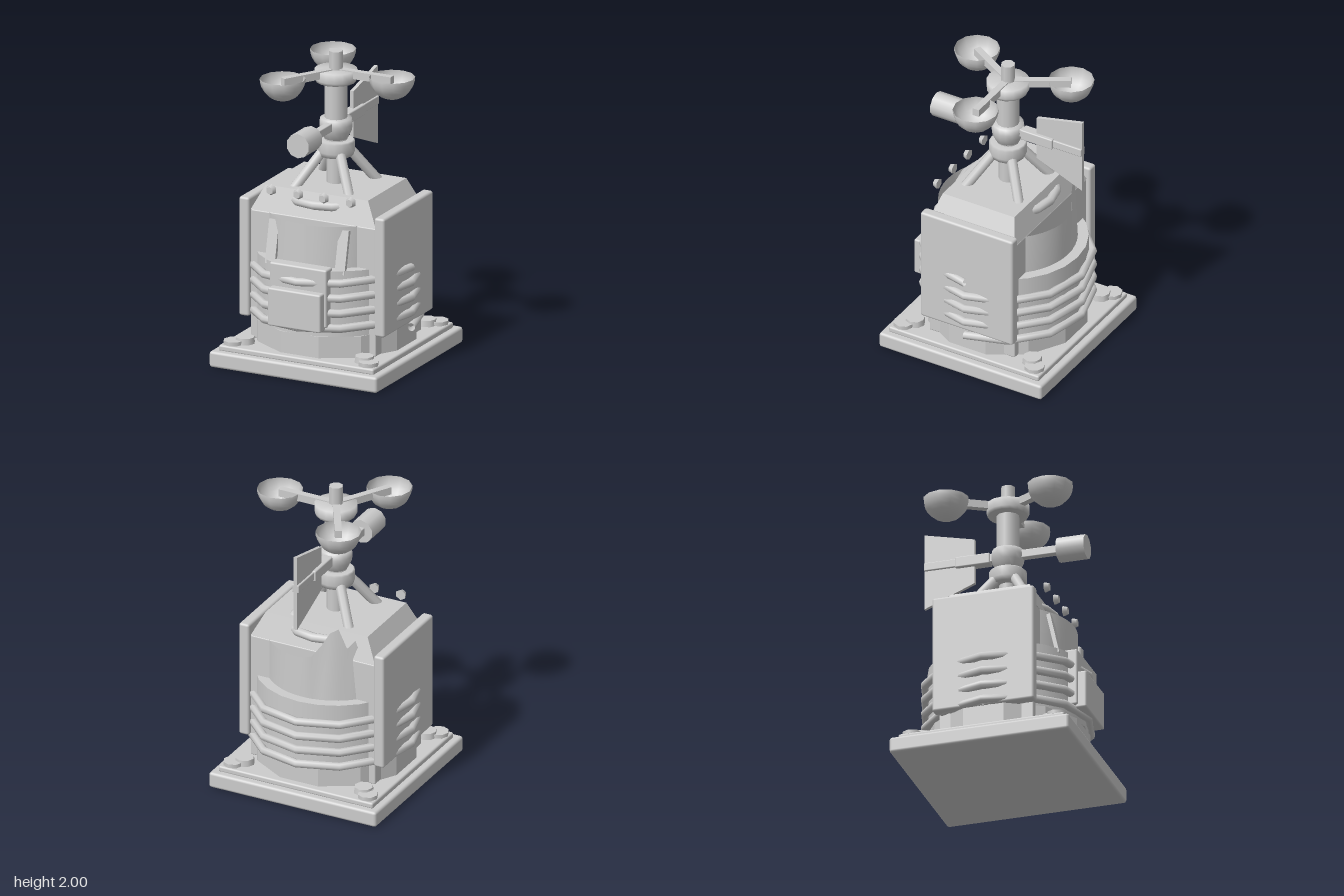
import * as THREE from 'three';
import { RoundedBoxGeometry } from 'three/addons/geometries/RoundedBoxGeometry.js';

const grey = new THREE.MeshStandardMaterial({ color: 0xcccccc });
grey.name = 'plainGrey';
grey.side = THREE.DoubleSide;

export function createModel() {
  const root = new THREE.Group();
  root.name = 'weatherStation';

  const add = (name, geo, x = 0, y = 0, z = 0, parent = root) => {
    const m = new THREE.Mesh(geo, grey);
    m.name = name;
    m.position.set(x, y, z);
    parent.add(m);
    return m;
  };
  // Box given by its extents
  const box = (name, x0, x1, y0, y1, z0, z1, r = 0.012) =>
    add(name, new RoundedBoxGeometry(x1 - x0, y1 - y0, z1 - z0, 2, r),
      (x0 + x1) / 2, (y0 + y1) / 2, (z0 + z1) / 2);
  // Upright cylinder given by its bottom and top
  const cyl = (name, rTop, rBottom, y0, y1, sides = 12, x = 0, z = 0) =>
    add(name, new THREE.CylinderGeometry(rTop, rBottom, y1 - y0, sides), x, (y0 + y1) / 2, z);
  // Straight rod between two points
  const rod = (name, a, b, r, sides = 8) => {
    const d = b.clone().sub(a);
    const m = add(name, new THREE.CylinderGeometry(r, r, d.length(), sides));
    m.position.copy(a).add(b).multiplyScalar(0.5);
    m.quaternion.setFromUnitVectors(new THREE.Vector3(0, 1, 0), d.normalize());
    return m;
  };
  const V = (x, y, z) => new THREE.Vector3(x, y, z);

  // Base plates and corner bolts
  box('basePlate', -0.59, 0.59, 0, 0.105, -0.59, 0.59, 0.018);
  box('baseStep', -0.545, 0.545, 0.1, 0.14, -0.545, 0.545, 0.012);
  for (const sx of [-1, 1]) for (const sz of [-1, 1]) {
    cyl('cornerFoot', 0.065, 0.065, 0.14, 0.165, 8, sx * 0.475, sz * 0.475);
    cyl('cornerBolt', 0.06, 0.065, 0.14, 0.18, 8, sx * 0.42, sz * 0.425);
  }

  // Drum
  const skirt = cyl('drumSkirt', 0.515, 0.515, 0.14, 0.28, 12);
  skirt.geometry = skirt.geometry.toNonIndexed();
  skirt.geometry.computeVertexNormals();
  skirt.rotation.y = Math.PI / 12;
  cyl('drum', 0.505, 0.505, 0.28, 0.71, 24);

  // Upper shell with a torn, rising edge at the back
  const shell = new THREE.CylinderGeometry(0.437, 0.437, 1, 48, 1, true);
  const tear = [0.01, 0.03, 0.1, 0.19, 0.22, 0.08, 0.13, -0.06, 0.02, -0.1];
  const p = shell.attributes.position;
  for (let i = 0; i < p.count; i++) {
    const step = i % 49; // angle runs from +z towards +x
    const rise = tear[step - 24] ?? 0;
    const top = p.getY(i) > 0;
    p.setY(i, top ? 0.98 + rise : 0.7);
    if (top && rise > 0.05) {
      p.setX(i, p.getX(i) * 0.94);
      p.setZ(i, p.getZ(i) * 0.94);
    }
  }
  shell.computeVertexNormals();
  add('tornShell', shell);

  // Housing with tapered roof
  box('housing', -0.44, 0.44, 0.14, 0.98, -0.31, 0.31, 0.008);
  const roof = new THREE.CylinderGeometry(0.5, 0.5, 0.16, 4).toNonIndexed();
  roof.rotateY(Math.PI / 4);
  const rp = roof.attributes.position;
  for (let i = 0; i < rp.count; i++) {
    const up = rp.getY(i) > 0;
    rp.setX(i, Math.sign(Math.round(rp.getX(i) * 100)) * (up ? 0.36 : 0.44));
    rp.setZ(i, Math.sign(Math.round(rp.getZ(i) * 100)) * (up ? 0.26 : 0.31));
  }
  roof.computeVertexNormals();
  add('roof', roof, 0, 1.06, 0);
  add('roofRing', new THREE.TorusGeometry(0.305, 0.03, 8, 16).rotateX(Math.PI / 2), 0, 1.07, 0);
  for (const x of [-0.28, -0.09, 0.09, 0.28]) {
    add('roofBolt', new THREE.CylinderGeometry(0.025, 0.036, 0.03, 6).rotateX(Math.PI / 2), x, 1.14, 0.35);
  }
  for (const s of [-1, 1]) {
    const x0 = s > 0 ? 0.44 : -0.512;
    box('sidePanel', x0, x0 + 0.072, 0.28, 1.06, -0.335, 0.335, 0.016);
  }

  // Coil wound four times around the drum
  class Helix extends THREE.Curve {
    getPoint(t, out = new THREE.Vector3()) {
      const a = t * 8 * Math.PI;
      return out.set(0.53 * Math.cos(a), 0.655 - 0.395 * t, 0.53 * Math.sin(a));
    }
  }
  add('coil', new THREE.TubeGeometry(new Helix(), 48, 0.027, 8));

  // Front hatch
  box('hatchPlate', -0.2, 0.2, 0.35, 0.73, 0.43, 0.52);
  box('hatchDoor', -0.185, 0.185, 0.33, 0.58, 0.5, 0.575);
  for (const s of [-1, 1]) {
    const m = add('hatchStrut', new THREE.BoxGeometry(0.07, 0.28, 0.025), s * 0.245, 0.82, 0.385);
    m.rotation.x = -0.22;
  }

  // Mast with collars and braces
  cyl('mastLower', 0.058, 0.058, 1.1, 1.4);
  cyl('mastMiddle', 0.072, 0.072, 1.4, 1.85);
  cyl('mastTip', 0.045, 0.045, 1.85, 2, 8);
  const lathe = (name, pts) => add(name, new THREE.LatheGeometry(pts.map(q => new THREE.Vector2(...q)), 16));
  lathe('braceCollar', [[0.05, 1.32], [0.11, 1.32], [0.12, 1.35], [0.12, 1.41], [0.11, 1.42], [0.05, 1.42]]);
  lathe('vaneHub', [[0.06, 1.42], [0.075, 1.43], [0.1, 1.48], [0.105, 1.52], [0.1, 1.56], [0.06, 1.565]]);
  lathe('cupHub', [[0.06, 1.8], [0.125, 1.8], [0.135, 1.82], [0.135, 1.88], [0.04, 1.88]]);
  for (const sx of [-1, 1]) for (const sz of [-1, 1]) {
    rod('mastBrace', V(sx * 0.195, 1.12, sz * 0.195), V(sx * 0.055, 1.36, sz * 0.055), 0.033);
  }

  // Wind vane and counterweight
  box('vaneArm', -0.024, 0.024, 1.495, 1.55, -0.545, 0.36, 0.006);
  box('vaneSleeve', -0.035, 0.035, 1.485, 1.557, -0.34, -0.11, 0.008);
  add('counterweight', new THREE.CylinderGeometry(0.08, 0.08, 0.185, 10).rotateX(Math.PI / 2), 0, 1.52, 0.428);
  const tail = new THREE.Shape([[0.215, 1.37], [0.545, 1.235], [0.545, 1.745], [0.215, 1.67]]
    .map(q => new THREE.Vector2(...q)));
  add('vaneTail', new THREE.ExtrudeGeometry(tail, { depth: 0.024, bevelEnabled: false })
    .translate(0, 0, -0.012).rotateY(Math.PI / 2));

  // Three wind cups
  for (let i = 0; i < 3; i++) {
    const arm = new THREE.Group();
    arm.name = 'cupArm';
    arm.rotation.y = i * Math.PI * 2 / 3;
    root.add(arm);
    add('cupRod', new THREE.BoxGeometry(0.395, 0.05, 0.045), 0.1975, 1.862, 0, arm);
    add('cup', new THREE.SphereGeometry(0.145, 12, 8, 0, Math.PI * 2, Math.PI / 2, Math.PI / 2),
      0.395, 1.885, 0, arm);
  }
  return root;
}
